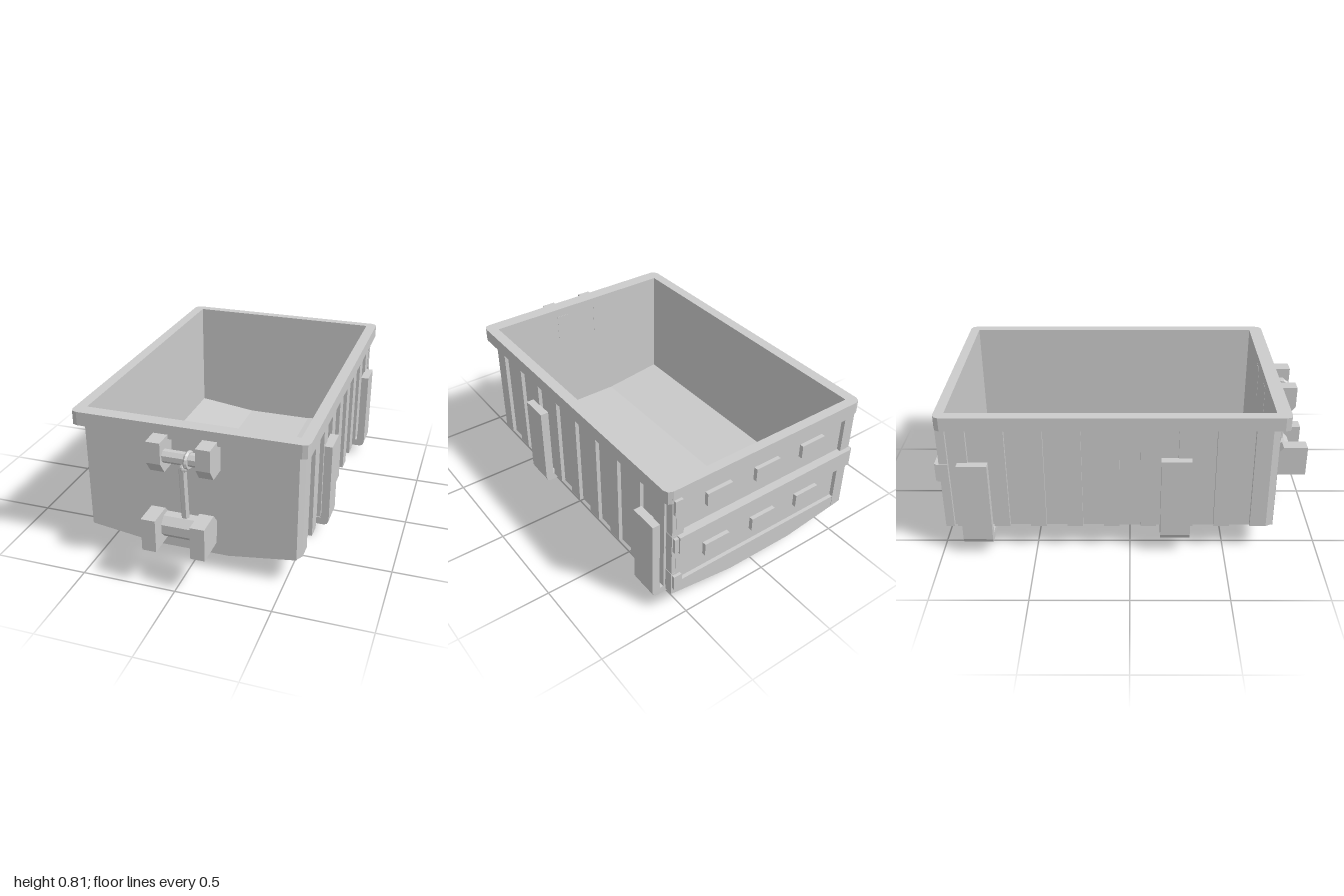
import * as THREE from 'three';

const material = new THREE.MeshStandardMaterial({ color: 0xcccccc, flatShading: true });

const toShape = (pts) => new THREE.Shape(pts.map(([a, b]) => new THREE.Vector2(a, b)));
// Appends the mirror image of a half outline (x > 0), closing it across x = 0
const mirrored = (half) => [...half, ...half.map(([x, y]) => [-x, y]).reverse()];
// Closed U-shaped section from the right halves of its outer and inner lines,
// both listed from the centre outwards
const uSection = (outer, inner) => [
  ...mirrored([...outer].reverse()),
  ...mirrored([...inner].reverse()).reverse(),
];

export function createModel() {
  const model = new THREE.Group();

  const add = (name, geometry) => {
    const mesh = new THREE.Mesh(geometry, material);
    mesh.name = name;
    model.add(mesh);
    return mesh;
  };
  const box = (name, x0, x1, y0, y1, z0, z1) =>
    add(name, new THREE.BoxGeometry(x1 - x0, y1 - y0, z1 - z0)
      .translate((x0 + x1) / 2, (y0 + y1) / 2, (z0 + z1) / 2));
  const extrude = (shape, depth) =>
    new THREE.ExtrudeGeometry(shape, { depth, bevelEnabled: false });
  // x-y outline swept from z0 to z1
  const alongZ = (name, pts, z0, z1) =>
    add(name, extrude(toShape(pts), z1 - z0).translate(0, 0, z0));
  // z-y outline swept from x0 to x1
  const alongX = (name, pts, x0, x1) =>
    add(name, extrude(toShape(pts), x1 - x0).rotateY(-Math.PI / 2).translate(x1, 0, 0));
  // x-z outline swept from y0 to y1
  const alongY = (name, pts, y0, y1, hole) => {
    const flip = (list) => list.map(([x, z]) => [x, -z]);
    const shape = toShape(flip(pts));
    if (hole) shape.holes.push(toShape(flip(hole)));
    add(name, extrude(shape, y1 - y0).rotateX(-Math.PI / 2).translate(0, y0, 0));
  };

  // Tub: side walls with a shallow V floor, closed by two end walls
  alongZ('sideWallsAndFloor', uSection(
    [[0.2, 0.098], [0.557, 0.147], [0.557, 0.78]],
    [[0.2, 0.115], [0.552, 0.16], [0.552, 0.78]]), -0.97, 0.755);
  const endWall = mirrored([[0.2, 0.098], [0.556, 0.147], [0.556, 0.78]]);
  alongZ('frontWall', endWall, 0.73, 0.76);
  alongZ('backWall', endWall, -0.955, -0.925);

  // Top rim with clipped corners
  alongY('topRim', mirrored([
    [0.575, 0.805], [0.6, 0.797], [0.61, 0.77], [0.61, -0.945], [0.6, -0.967], [0.575, -0.977],
  ]), 0.74, 0.813, mirrored([[0.552, 0.73], [0.552, -0.925]]));

  // Corrugated sides, bevelled front corners and back posts
  for (const s of [1, -1]) {
    alongY('frontCornerRib',
      [[s * 0.555, 0.76], [s * 0.578, 0.72], [s * 0.578, 0.635], [s * 0.555, 0.635]],
      0.15, 0.75);
    for (let i = 1; i < 9; i++) {
      const z = 0.6775 - i * 0.1935;
      const x = s * 0.566;
      box('sideRib', x - 0.012, x + 0.012, 0.15, 0.75, z - 0.042, z + 0.042);
    }
    const post = s * 0.566;
    box('backPost', post - 0.012, post + 0.012, 0.15, 0.75, -0.975, -0.93);
  }

  // Two support straps wrapping the belly, the rear one hanging lower
  const strap = uSection(
    [[0.2, 0.028], [0.41, 0.095], [0.595, 0.095], [0.612, 0.102], [0.62, 0.122], [0.62, 0.568]],
    [[0.2, 0.075], [0.4, 0.136], [0.574, 0.136], [0.574, 0.568]]);
  for (const [z, drop] of [[0.238, 0], [-0.803, 0.028]]) {
    alongZ('supportStrap', strap.map(([x, y]) => [x, y - drop]), z - 0.078, z + 0.078);
  }

  // Tailgate: frame, middle rail and six raised blocks
  for (const s of [1, -1]) {
    box('tailgateStile', s * 0.535 - 0.022, s * 0.535 + 0.022, 0.15, 0.75, -0.977, -0.95);
  }
  box('tailgateTopRail', -0.555, 0.555, 0.73, 0.79, -0.977, -0.95);
  alongZ('tailgateBottomRail',
    mirrored([[0.2, 0.098], [0.555, 0.147], [0.555, 0.215]]), -0.975, -0.95);
  box('tailgateMiddleRail', -0.57, 0.55, 0.43, 0.53, -1, -0.95);
  for (const y of [0.655, 0.33]) {
    for (const x of [-0.3, 0, 0.3]) {
      box('tailgateBlock', x - 0.075, x + 0.075, y - 0.037, y + 0.037, -0.977, -0.95);
    }
  }

  // Hinges on the left edge, a keeper on the right edge
  for (const y of [0.715, 0.48, 0.235]) {
    box('hingePlate', 0.55, 0.58, y - 0.055, y + 0.055, -0.976, -0.93);
    box('hingeLeaf', 0.53, 0.574, y - 0.042, y + 0.042, -0.992, -0.95);
  }
  box('tailgateKeeper', -0.582, -0.55, 0.43, 0.53, -0.99, -0.93);

  // Front lifting gear: paired brackets with cross bars
  for (const s of [1, -1]) {
    const x = s * 0.126;
    alongX('upperBracket',
      [[0.905, 0.763], [0.905, 0.65], [0.86, 0.588], [0.729, 0.588], [0.729, 0.763]],
      x - 0.037, x + 0.037);
    alongX('lowerBracket',
      [[1, 0.39], [0.865, 0.39], [0.817, 0.335], [0.83, 0.215], [1, 0.215]],
      x - 0.037, x + 0.037);
  }
  const bar = (name, r, y, z) =>
    add(name, new THREE.CylinderGeometry(r, r, 0.19, 8)
      .rotateZ(Math.PI / 2).rotateX(Math.PI / 8).translate(0, y, z));
  bar('upperBar', 0.034, 0.677, 0.857);
  bar('lowerBar', 0.064, 0.302, 0.867);

  // Tie rod with a ring hooked over the upper bar
  const rodPath = new THREE.LineCurve3(
    new THREE.Vector3(0.018, 0.34, 0.867), new THREE.Vector3(0.014, 0.64, 0.88));
  add('tieRod', new THREE.TubeGeometry(rodPath, 1, 0.021, 6, false));
  add('rodHead', new THREE.SphereGeometry(0.022, 8, 6).translate(0.018, 0.637, 0.88));
  const ring = add('hookRing', new THREE.TorusGeometry(0.037, 0.012, 6, 14));
  ring.position.set(0.037, 0.673, 0.857);
  ring.rotation.y = Math.PI / 2 - 0.12;

  return model;
}
